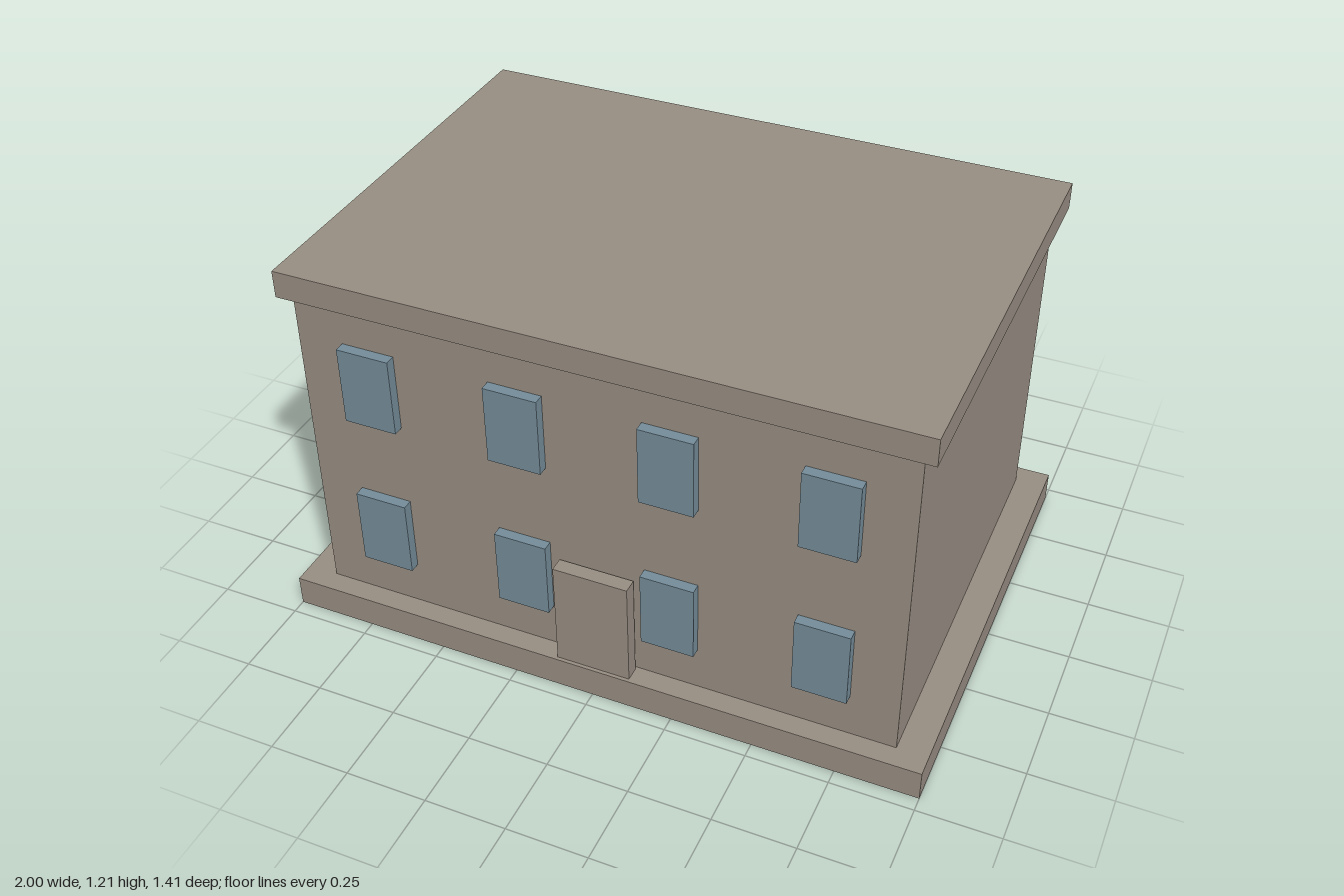
import * as THREE from 'three';

export function createModel() {
  const model = new THREE.Group();
  model.name = 'building';

  const stone = new THREE.MeshStandardMaterial({ color: 0x988e83 });
  stone.name = 'stone';
  const glass = new THREE.MeshStandardMaterial({ color: 0x758d9a });
  glass.name = 'blue glass';

  // Box from its size, bottom height and centre
  function box(name, material, [w, h, d], x, bottom, z, parent = model) {
    const mesh = new THREE.Mesh(new THREE.BoxGeometry(w, h, d), material);
    mesh.name = name;
    mesh.position.set(x, bottom + h / 2, z);
    parent.add(mesh);
    return mesh;
  }

  // Main masses
  box('basePlinth', stone, [2, 0.098, 1.41], 0, 0, 0);
  box('walls', stone, [1.812, 1.028, 1.28], 0, 0.098, 0);
  box('roofSlab', stone, [1.888, 0.084, 1.334], 0, 1.126, 0);

  // Door slab, standing slightly clear of the front wall
  box('door', stone, [0.23, 0.344, 0.045], 0, 0.098, 0.6715);

  // Two rows of four windows on the front and the back
  for (const side of [1, -1]) {
    const windows = new THREE.Group();
    windows.name = side > 0 ? 'frontWindows' : 'backWindows';
    model.add(windows);
    for (const bottom of [0.245, 0.759]) {
      for (const x of [-0.682, -0.227, 0.227, 0.682]) {
        box('window', glass, [0.162, 0.245, 0.032], x, bottom, side * 0.658, windows);
      }
    }
  }

  return model;
}
